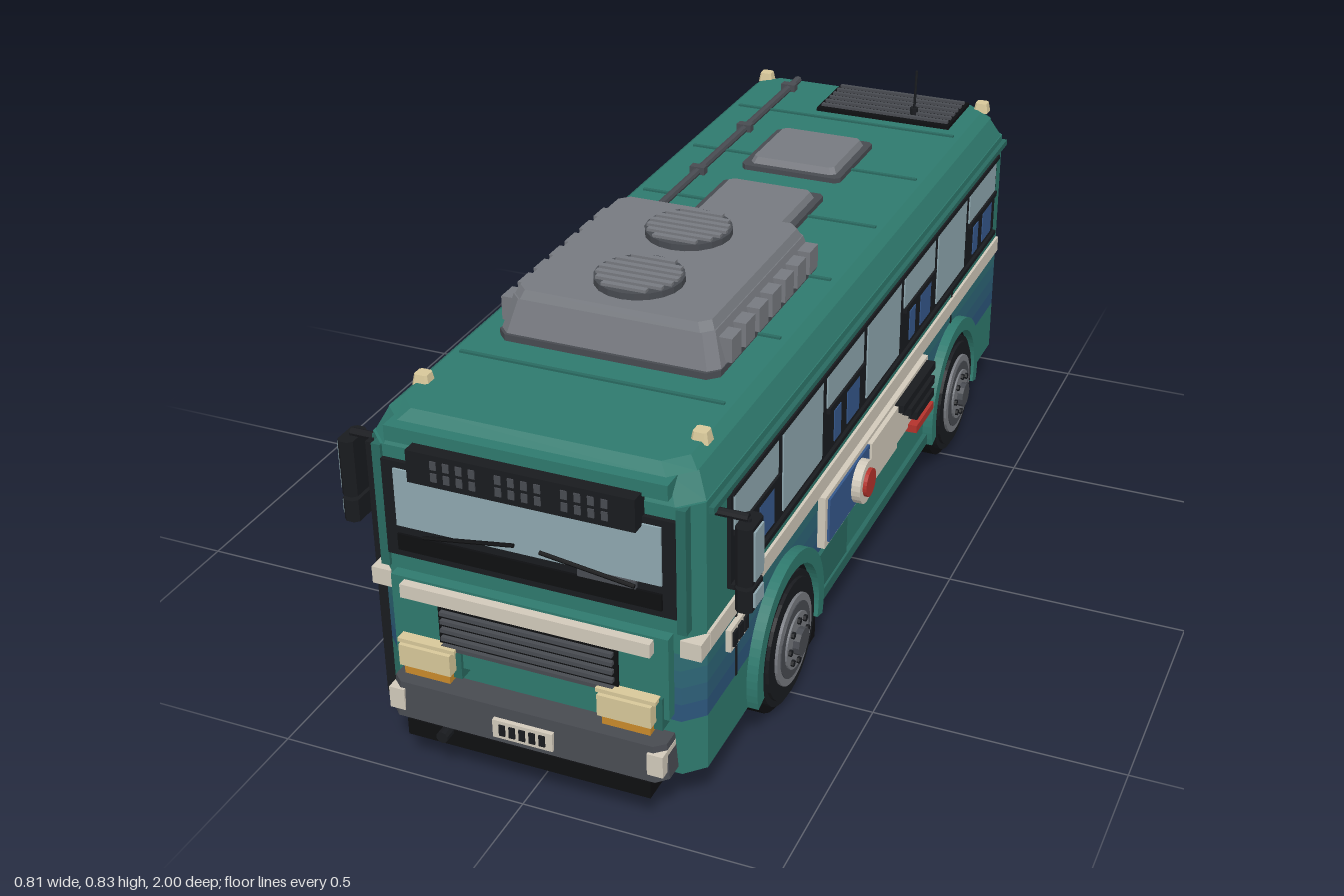
import * as THREE from 'three';

const C = { teal: 0x2f7a6e, trim: 0x296a60, blue: 0x2c567c, cream: 0xd2cabb, dark: 0x191b1f, black: 0x0e0f11,
  grey: 0x777a80, steel: 0x484b51, glass: 0x8fa8b0, doorGlass: 0x33565a, seat: 0x35588c,
  lamp: 0xd8c89a, orange: 0xc98a2b, red: 0xb5332c };
const mats = {};
const mat = c => mats[c] ??= new THREE.MeshStandardMaterial({ color: c, flatShading: true });

export function createModel() {
  const root = new THREE.Group();
  const add = (name, geo, color, x = 0, y = 0, z = 0) => {
    const m = new THREE.Mesh(geo, mat(color));
    m.name = name;
    m.position.set(x, y, z);
    root.add(m);
    return m;
  };
  // Box given by its limits on each axis
  const box = (name, x0, x1, y0, y1, z0, z1, color) => add(name,
    new THREE.BoxGeometry(Math.abs(x1 - x0), y1 - y0, Math.abs(z1 - z0)), color, (x0 + x1) / 2, (y0 + y1) / 2, (z0 + z1) / 2);
  const rod = (name, a, b, r, color, sides = 8) => {
    const p = new THREE.Vector3(...a), q = new THREE.Vector3(...b), d = q.clone().sub(p);
    const m = add(name, new THREE.CylinderGeometry(r, r, d.length(), sides), color);
    m.position.copy(p).add(q).multiplyScalar(0.5);
    m.quaternion.setFromUnitVectors(new THREE.Vector3(0, 1, 0), d.normalize());
    return m;
  };
  // Horizontal slab with chamfered corners; its top can be drawn in
  const slab = (name, y0, y1, w, l, ch, color, topIn = 0, x = 0, z = 0) => {
    const s = new THREE.Shape([[w, l - ch], [w - ch, l], [ch - w, l], [-w, l - ch], [-w, ch - l], [ch - w, -l], [w - ch, -l], [w, ch - l]]
      .map(p => new THREE.Vector2(...p)));
    const g = new THREE.ExtrudeGeometry(s, { depth: y1 - y0, bevelEnabled: false }).rotateX(-Math.PI / 2);
    const p = g.attributes.position;
    for (let i = 0; i < p.count; i++) if (p.getY(i) > 1e-4) {
      p.setX(i, p.getX(i) * (1 - topIn / w));
      p.setZ(i, p.getZ(i) * (1 - topIn / l));
    }
    g.computeVertexNormals();
    return add(name, g, color, x, y0, z);
  };

  // Body shell in coloured layers
  slab('chassis', 0.045, 0.1, 0.29, 0.87, 0.03, C.black);
  slab('skirt', 0.085, 0.2, 0.32, 0.925, 0.035, C.teal);
  const top = new THREE.Color(C.teal), low = new THREE.Color(C.blue);
  for (let i = 0; i < 4; i++) {
    const c = low.clone().lerp(top, i / 5).getHex();
    slab('belt', 0.2 + i * 0.036, 0.236 + i * 0.036, 0.32, 0.925, 0.035, c);
  }
  slab('upperBody', 0.344, 0.64, 0.32, 0.925, 0.035, C.teal);
  slab('roofEdge', 0.64, 0.685, 0.318, 0.925, 0.04, C.teal, 0.022);
  slab('roof', 0.685, 0.702, 0.296, 0.91, 0.04, C.teal, 0.02);
  for (const s of [-1, 1]) {
    box('gutter', s * 0.3, s * 0.33, 0.612, 0.625, -0.9, 0.88, C.trim);
    box('sideStripe', s * 0.315, s * 0.326, 0.342, 0.378, -0.89, 0.89, C.cream);
    box('sill', s * 0.315, s * 0.33, 0.09, 0.115, -0.36, 0.36, C.trim);
    for (const z of [0.76, -0.53]) box('seam', s * 0.315, s * 0.322, 0.2, 0.41, z - 0.003, z + 0.003, C.dark);
    for (const z of [0.79, -0.88]) slab('roofMarker', 0.695, 0.717, 0.017, 0.017, 0.005, C.lamp, 0.004, s * 0.27, z);
    box('cornerLamp', s * 0.285, s * 0.325, 0.34, 0.375, 0.88, 0.928, C.cream);
  }

  // Wheels, arches and mud flaps
  const arc = new THREE.Shape();
  arc.absarc(0, 0, 0.178, -0.28, Math.PI + 0.28);
  arc.absarc(0, 0, 0.148, Math.PI + 0.28, -0.28, true);
  const arcGeo = new THREE.ExtrudeGeometry(arc, { depth: 0.028, bevelEnabled: false, curveSegments: 20 }).rotateY(Math.PI / 2);
  for (const s of [-1, 1]) for (const z of [0.53, -0.53]) {
    const disc = (name, r, x0, x1, color, n = 28, dy = 0, dz = 0) =>
      rod(name, [s * x0, 0.135 + dy, z + dz], [s * x1, 0.135 + dy, z + dz], r, color, n);
    disc('wheelWell', 0.15, 0.2, 0.322, C.black);
    disc('tyre', 0.135, 0.195, 0.335, C.dark);
    disc('tyreShoulder', 0.122, 0.19, 0.342, C.dark);
    disc('rim', 0.092, 0.3, 0.348, C.grey);
    disc('rimDish', 0.077, 0.3, 0.35, C.steel);
    disc('hubPlate', 0.058, 0.3, 0.354, C.grey);
    disc('hub', 0.028, 0.3, 0.367, C.steel, 12);
    for (let i = 0; i < 8; i++) {
      const a = i * Math.PI / 4;
      disc('wheelNut', 0.007, 0.34, 0.36, C.dark, 6, Math.sin(a) * 0.045, Math.cos(a) * 0.045);
    }
    add('wheelArch', arcGeo, C.teal, s > 0 ? 0.314 : -0.342, 0.135, z);
    box('mudFlap', s * 0.2, s * 0.32, 0.012, 0.1, z - 0.19, z - 0.14, C.black);
  }
  for (const z of [0.53, -0.53]) rod('axle', [-0.2, 0.1, z], [0.2, 0.1, z], 0.03, C.black);

  // Side windows: sliding ones have a lower opening that shows seats
  const sideWindow = (s, z0, z1, sliding) => {
    box('windowPane', s * 0.32, s * 0.33, sliding ? 0.528 : 0.432, 0.6, z0, z1, C.glass);
    if (!sliding) return;
    const w = z1 - z0;
    box('windowRail', s * 0.32, s * 0.335, 0.516, 0.528, z0, z1, C.dark);
    box('seatBack', s * 0.32, s * 0.329, 0.432, 0.51, z0 + w * 0.08, z0 + w * 0.42, C.seat);
    box('seatBack', s * 0.32, s * 0.329, 0.432, 0.5, z0 + w * 0.6, z0 + w * 0.78, C.seat);
  };
  const windowBand = (s, z0, z1, n, first) => {
    box('windowFrame', s * 0.31, s * 0.327, 0.415, 0.612, z0, z1, C.dark);
    for (const y of [0.412, 0.604]) box('windowLip', s * 0.31, s * 0.334, y, y + 0.01, z0, z1, C.dark);
    const p = (z1 - z0) / n;
    for (let i = 0; i < n; i++) sideWindow(s, z0 + i * p + 0.013, z0 + (i + 1) * p - 0.013, (i + first) % 2 === 0);
  };
  windowBand(1, -0.83, 0.8, 7, 0);
  windowBand(-1, -0.8, -0.2, 3, 0);
  windowBand(-1, 0.31, 0.66, 2, 1);

  // Advert panel, hatch and vents on the left side
  box('advertFrame', 0.318, 0.336, 0.222, 0.338, -0.312, 0.338, C.cream);
  box('advertBlue', 0.32, 0.341, 0.232, 0.328, -0.06, 0.325, C.seat);
  box('advertPale', 0.32, 0.346, 0.23, 0.33, -0.08, 0.09, C.cream);
  rod('advertRing', [0.32, 0.28, 0.155], [0.36, 0.28, 0.155], 0.046, C.cream, 24);
  rod('advertDisc', [0.32, 0.28, 0.155], [0.368, 0.28, 0.155], 0.03, C.red, 24);
  [[0.312, -0.085, C.dark], [0.277, -0.14, C.dark], [0.245, -0.185, C.dark], [0.212, -0.185, C.red]]
    .forEach(([y, z, c]) => box('advertBar', 0.32, 0.356, y, y + 0.018, -0.305, z, c));
  box('serviceHatch', 0.31, 0.328, 0.12, 0.205, 0.18, 0.35, C.trim);
  const vent = (s, z) => {
    box('sideVent', s * 0.315, s * 0.33, 0.282, 0.328, z - 0.042, z + 0.042, C.cream);
    for (const d of [-0.025, 0, 0.025]) box('ventSlot', s * 0.32, s * 0.334, 0.29, 0.32, z + d - 0.009, z + d + 0.009, C.dark);
  };
  vent(1, 0.765);
  vent(-1, 0.36);
  vent(-1, 0.47);
  rod('fuelCap', [-0.31, 0.27, -0.24], [-0.34, 0.27, -0.24], 0.025, C.steel, 16);

  // Doors on the right side
  const door = (z0, z1, leaves) => {
    box('doorFrame', -0.29, -0.329, 0.075, 0.618, z0, z1, C.dark);
    const p = (z1 - z0) / leaves;
    for (let i = 0; i < leaves; i++) {
      const a = z0 + i * p + 0.02, b = z0 + (i + 1) * p - 0.02;
      box('doorUpperGlass', -0.32, -0.333, 0.39, 0.595, a, b, C.doorGlass);
      box('doorStripe', -0.32, -0.334, 0.32, 0.376, a, b, C.cream);
      box('doorLowerPanel', -0.32, -0.333, 0.125, 0.31, a, b, C.doorGlass);
    }
    for (const z of [z0, z1]) box('doorPost', -0.3, -0.337, 0.07, 0.615, z - 0.008, z + 0.008, C.dark);
    box('doorStep', -0.26, -0.337, 0.05, 0.085, z0, z1, C.dark);
    box('stepEdge', -0.3, -0.34, 0.078, 0.088, z0 + 0.02, z1 - 0.02, C.lamp);
  };
  door(-0.17, 0.28, 2);
  door(0.715, 0.885, 1);

  // Windscreen, wipers and destination sign
  box('windscreenFrame', -0.282, 0.282, 0.42, 0.615, 0.9, 0.934, C.dark);
  box('windscreen', -0.257, 0.257, 0.485, 0.602, 0.92, 0.938, C.glass);
  box('dashboard', -0.257, 0.257, 0.435, 0.468, 0.92, 0.939, C.black);
  box('dashPanel', 0.1, 0.21, 0.47, 0.485, 0.92, 0.942, C.steel);
  rod('wiper', [-0.2, 0.476, 0.945], [-0.02, 0.504, 0.945], 0.004, C.black);
  rod('wiper', [0.03, 0.502, 0.945], [0.21, 0.478, 0.945], 0.004, C.black);
  for (const s of [-1, 1]) box('frontPillar', s * 0.282, s * 0.3, 0.39, 0.64, 0.9, 0.932, C.trim);
  box('signBrow', -0.27, 0.27, 0.655, 0.685, 0.89, 0.935, C.teal);
  box('signCase', -0.213, 0.222, 0.598, 0.662, 0.91, 0.962, C.dark);
  for (let i = 0; i < 15; i++) for (const y of [0.61, 0.634]) if (i % 5 !== 4)
    box('signLight', -0.165 + i * 0.025, -0.153 + i * 0.025, y, y + 0.017, 0.95, 0.964, C.steel);

  // Front panel, grille, lamps
  box('frontPanel', -0.272, 0.272, 0.215, 0.385, 0.9, 0.948, C.teal);
  box('frontStripe', -0.245, 0.245, 0.352, 0.38, 0.93, 0.966, C.cream);
  box('frontGrille', -0.177, 0.177, 0.25, 0.348, 0.93, 0.953, C.black);
  for (let i = 0; i < 5; i++) box('grilleSlat', -0.17, 0.17, 0.257 + i * 0.018, 0.265 + i * 0.018, 0.94, 0.962, C.steel);
  for (const s of [-1, 1]) {
    box('lampHousing', s * 0.135, s * 0.262, 0.195, 0.262, 0.9, 0.955, C.trim);
    box('headlight', s * 0.146, s * 0.25, 0.212, 0.256, 0.94, 0.978, C.lamp);
    box('headlightBrow', s * 0.14, s * 0.256, 0.256, 0.264, 0.93, 0.97, C.lamp);
    box('turnSignal', s * 0.152, s * 0.245, 0.19, 0.21, 0.92, 0.97, C.orange);
  }

  // Bumpers and plates at both ends
  for (const s of [-1, 1]) {
    const b = slab('bumper', 0.1, 0.173, 0.278, 0.045, 0.02, C.steel, 0.006, 0, s * 0.938);
    b.name = s > 0 ? 'frontBumper' : 'rearBumper';
    for (const t of [-1, 1]) box('bumperEnd', t * 0.243, t * 0.274, 0.115, 0.16, s * 0.92, s * 0.984, C.cream);
    box('plate', -0.06, 0.06, 0.112, 0.15, s * 0.97, s * 0.988, C.cream);
    for (let i = -2; i < 3; i++) box('plateMark', i * 0.02 - 0.006, i * 0.02 + 0.006, 0.12, 0.143, s * 0.98, s * 0.991, C.dark);
    box('lowerBar', -0.245, 0.245, 0.055, 0.09, s * 0.85, s * (s > 0 ? 0.975 : 0.92), C.black);
  }
  rod('exhaust', [-0.185, 0.08, -0.8], [-0.185, 0.08, -1], 0.015, C.dark, 12);
  rod('towHook', [-0.16, 0.088, 0.94], [-0.16, 0.088, 1], 0.012, C.dark, 10);

  // Rear window, louvres, route sign and tail lamps
  box('rearFrame', -0.25, 0.17, 0.41, 0.6, -0.9, -0.94, C.dark);
  box('rearWindow', -0.235, 0.155, 0.505, 0.59, -0.92, -0.945, C.glass);
  box('rearLouvrePanel', -0.25, 0.2, 0.4, 0.495, -0.9, -0.943, C.dark);
  for (let i = 0; i < 5; i++) box('rearLouvre', -0.24, 0.19, 0.408 + i * 0.018, 0.416 + i * 0.018, -0.93, -0.96, C.steel);
  box('routeSign', 0.178, 0.285, 0.535, 0.595, -0.9, -0.945, C.dark);
  for (const x of [0.195, 0.225, 0.255]) box('routeMark', x, x + 0.02, 0.547, 0.583, -0.93, -0.948, C.cream);
  for (const s of [-1, 1]) {
    box('tailHousing', s * 0.195, s * 0.275, 0.195, 0.358, -0.9, -0.94, C.dark);
    [[0.28, 0.35, C.red], [0.24, 0.275, C.orange], [0.202, 0.236, C.cream]]
      .forEach(([a, b, c]) => box('tailLamp', s * 0.203, s * 0.267, a, b, -0.92, -0.96, c));
  }

  // Mirrors on arms
  for (const s of [-1, 1]) {
    rod('mirrorArm', [s * 0.31, 0.608, 0.86], [s * 0.385, 0.608, 0.86], 0.008, C.dark);
    rod('mirrorStem', [s * 0.383, 0.608, 0.86], [s * 0.383, 0.44, 0.86], 0.007, C.dark);
    for (const [a, b] of [[0.488, 0.602], [0.435, 0.48]]) {
      slab('mirrorHead', a, b, 0.016, 0.032, 0.008, C.dark, 0, s * 0.385, 0.86);
      box('mirrorGlass', s * 0.395, s * 0.405, a + 0.008, b - 0.008, 0.84, 0.88, C.glass);
    }
  }

  // Roof air conditioner with two fans
  slab('coolerBase', 0.7, 0.715, 0.222, 0.265, 0.02, C.steel, 0, -0.005, 0.335);
  slab('coolerBody', 0.71, 0.78, 0.222, 0.26, 0.02, C.grey, 0.02, -0.005, 0.335);
  slab('coolerLid', 0.78, 0.797, 0.2, 0.24, 0.02, C.grey, 0.008, -0.005, 0.335);
  for (const s of [-1, 1]) for (let i = 0; i < 7; i++)
    box('coolerFin', s * 0.2 - 0.005, s * 0.232 - 0.005, 0.718, 0.766, 0.11 + i * 0.066, 0.155 + i * 0.066, C.grey);
  for (const z of [0.22, 0.45]) {
    rod('fanRing', [0, 0.79, z], [0, 0.81, z], 0.086, C.steel, 20);
    for (let i = -3; i < 4; i++) {
      const w = Math.sqrt(0.0064 - (i * 0.022) ** 2);
      box('fanSlat', -w, w, 0.8, 0.816, z + i * 0.022 - 0.006, z + i * 0.022 + 0.006, C.grey);
    }
  }

  // Roof hatches, ribs, conduit, vent and antenna
  for (const z of [-0.44, -0.125]) {
    slab('hatchRim', 0.7, 0.713, 0.114, 0.114, 0.01, C.steel, 0, 0, z);
    slab('hatch', 0.71, 0.727, 0.1, 0.1, 0.01, C.grey, 0.008, 0, z);
  }
  for (let i = 0; i < 6; i++) box('roofRib', -0.262, 0.262, 0.7, 0.706, -0.684 + i * 0.27, -0.676 + i * 0.27, C.trim);
  rod('roofConduit', [-0.19, 0.708, -0.88], [-0.19, 0.708, 0.08], 0.009, C.steel);
  for (const z of [-0.82, -0.54, -0.27, -0.05]) box('conduitClip', -0.207, -0.173, 0.7, 0.719, z - 0.01, z + 0.01, C.steel);
  box('roofVent', -0.082, 0.238, 0.7, 0.71, -0.882, -0.718, C.black);
  for (let i = 0; i < 6; i++) box('roofVentSlat', -0.075, 0.231, 0.705, 0.716, -0.872 + i * 0.026, -0.862 + i * 0.026, C.steel);
  rod('antennaBase', [0.14, 0.7, -0.765], [0.14, 0.725, -0.765], 0.01, C.dark);
  rod('antenna', [0.14, 0.71, -0.765], [0.143, 0.815, -0.765], 0.003, C.dark, 6);
  return root;
}
